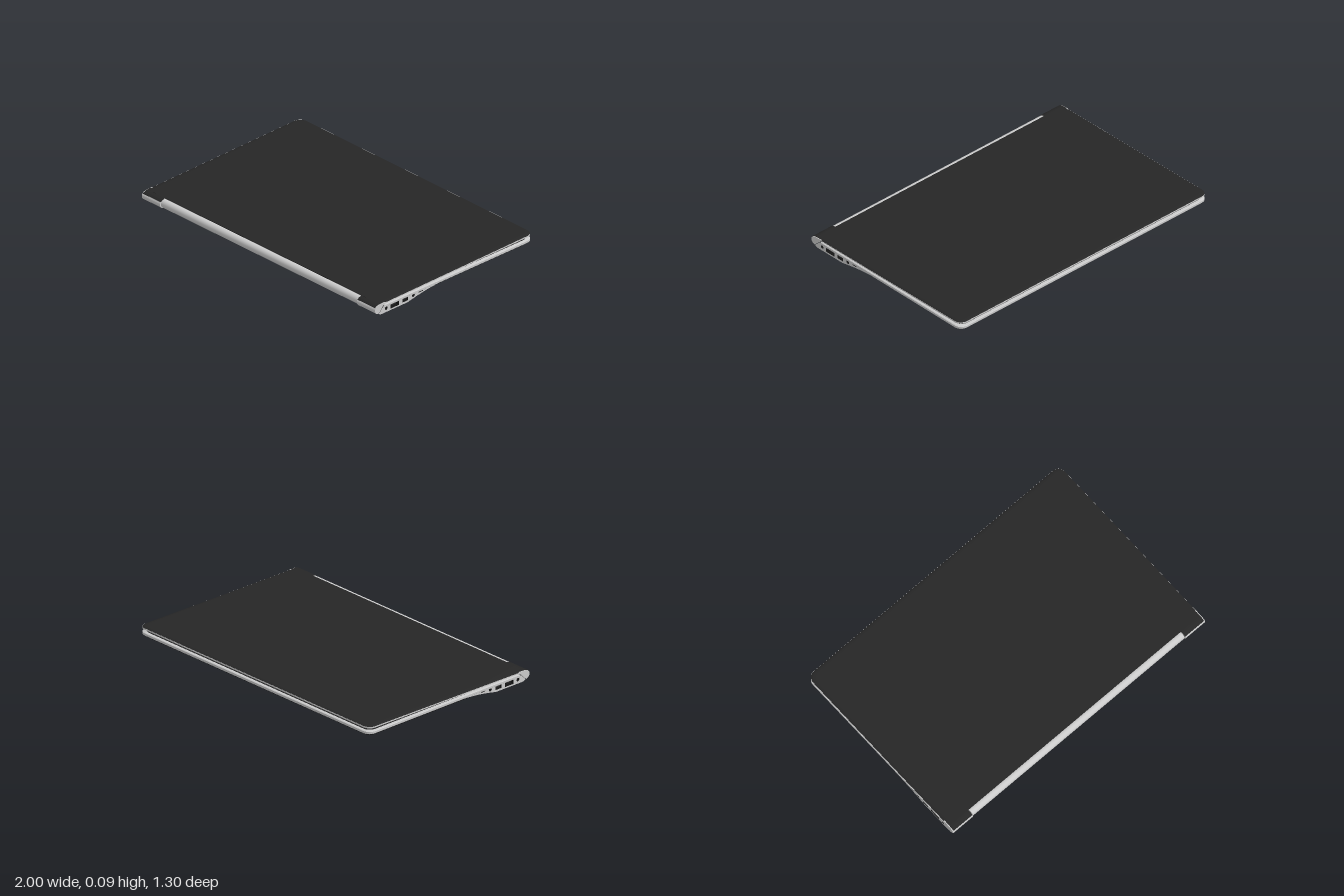
import * as THREE from 'three';
import { toCreasedNormals } from 'three/addons/utils/BufferGeometryUtils.js';

const mat = (color) => new THREE.MeshStandardMaterial({ color });
const grey = mat(0xcccccc), black = mat(0x262626), dark = mat(0x141414);

// Plan outline: square at the hinge edge, rounded at the two far corners
function outline(inset, zFront, r = 0.05) {
  const w = 1 - inset, zb = -0.65 + inset, pts = [[w, zFront]];
  for (const side of [1, -1]) {
    for (let i = 0; i <= 8; i++) {
      const a = (side > 0 ? i : 8 - i) / 8 * Math.PI / 2;
      pts.push([side * (w - r + r * Math.cos(a)), zb + r - r * Math.sin(a)]);
    }
  }
  pts.push([-w, zFront]);
  return pts;
}

// Closed slab lofted through rings [inset, zFront, height as a function of z], bottom to top
function slab(rings, crease = 0.6) {
  const pos = [], idx = [];
  let n = 0;
  for (const [inset, zFront, y] of rings) {
    const o = outline(inset, zFront);
    n = o.length;
    for (const [x, z] of o) pos.push(x, y(z), z);
  }
  for (let k = 0; k < rings.length - 1; k++) {
    for (let i = 0; i < n; i++) {
      const a = k * n + i, b = k * n + (i + 1) % n;
      idx.push(a, b, b + n, a, b + n, a + n);
    }
  }
  const top = (rings.length - 1) * n;
  for (let i = 1; i < n - 1; i++) idx.push(0, i + 1, i, top, top + i, top + i + 1);
  const g = new THREE.BufferGeometry();
  g.setAttribute('position', new THREE.Float32BufferAttribute(pos, 3));
  g.setIndex(idx);
  return toCreasedNormals(g, crease);
}

// Side profile in (z, y), extruded along x between x0 and x1
function acrossX(shape, x0, x1) {
  const g = new THREE.ExtrudeGeometry(shape, { depth: x1 - x0, bevelEnabled: false, curveSegments: 16 });
  g.rotateY(-Math.PI / 2).translate(x1, 0, 0);
  return g;
}

export function createModel() {
  const model = new THREE.Group();
  const add = (name, geometry, material, parent = model) => {
    const m = new THREE.Mesh(geometry, material);
    m.name = name;
    parent.add(m);
    return m;
  };
  const box = (name, size, at, material, parent) =>
    add(name, new THREE.BoxGeometry(...size), material, parent).position.set(...at);
  const flat = (y) => () => y;
  const slope = (y0, y1) => (z) => y0 + (y1 - y0) * (0.6 - z) / 1.25;

  // Base: dark tub with a curved underside, pale rim band and dark deck
  add('baseTub', slab([[0.1, 0.59, flat(0.003)], [0.05, 0.605, flat(0.011)],
    [0.018, 0.605, flat(0.026)], [0.004, 0.59, flat(0.039)]], 0.9), dark);
  add('baseRim', slab([[0.003, 0.585, flat(0.038)], [0, 0.582, flat(0.042)],
    [0, 0.572, flat(0.054)], [0.004, 0.57, flat(0.057)]]), grey);
  add('deck', slab([[0.02, 0.56, flat(0.056)], [0.02, 0.56, flat(0.058)]]), black);

  // Keyboard and touchpad
  const keyboard = new THREE.Group();
  keyboard.name = 'keyboard';
  model.add(keyboard);
  for (let row = 0; row < 5; row++) {
    for (let col = 0; col < 14; col++) {
      box('key', [0.098, 0.004, 0.088], [(col - 6.5) * 0.112, 0.06, 0.43 - row * 0.102], dark, keyboard);
    }
  }
  box('touchpad', [0.6, 0.002, 0.34], [0, 0.0585, -0.33], dark);

  // Port housings on both sides, with cut-out sockets
  const rect = (z0, z1, y0, y1) => {
    const p = new THREE.Path();
    p.moveTo(z0, y0).lineTo(z0, y1).lineTo(z1, y1).lineTo(z1, y0).closePath();
    return p;
  };
  const round = (z, y, r) => new THREE.Path().absarc(z, y, r, 0, Math.PI * 2, true);
  const housing = new THREE.Shape();
  housing.moveTo(0.13, 0.04).lineTo(0.2, 0.034).quadraticCurveTo(0.28, 0.026, 0.38, 0.004)
    .lineTo(0.59, 0.003).quadraticCurveTo(0.612, 0.004, 0.618, 0.014)
    .lineTo(0.58, 0.05).lineTo(0.57, 0.052).lineTo(0.13, 0.052).closePath();
  housing.holes.push(round(0.557, 0.029, 0.011), rect(0.452, 0.522, 0.013, 0.044),
    rect(0.377, 0.423, 0.017, 0.044), round(0.334, 0.033, 0.011), rect(0.256, 0.292, 0.035, 0.043));
  for (const s of [1, -1]) {
    const [x0, x1] = s > 0 ? [0.86, 0.999] : [-0.999, -0.86];
    add('portHousing', acrossX(housing, x0, x1), [grey, dark]);
    // Dark back wall and tongues inside the sockets
    box('socketBack', [0.01, 0.036, 0.32], [s * 0.97, 0.033, 0.42], dark);
    for (const z of [0.487, 0.4]) box('socketTongue', [0.02, 0.006, 0.032], [s * 0.983, 0.03, z], black);
  }

  // Lid: pale frame, dark outer shell with softened edges, dark screen inside
  add('lidFrame', slab([[0.004, 0.607, slope(0.063, 0.076)], [0, 0.607, slope(0.065, 0.078)],
    [0, 0.607, slope(0.07, 0.087)]]), grey);
  add('lidShell', slab([[0, 0.607, slope(0.0695, 0.0865)], [0.004, 0.608, slope(0.072, 0.0895)],
    [0.012, 0.609, slope(0.0743, 0.0922)], [0.026, 0.61, slope(0.0755, 0.0935)]], 0.9), black);
  add('screen', slab([[0.03, 0.55, slope(0.0625, 0.0755)], [0.03, 0.55, slope(0.066, 0.079)]]), dark);

  // Hinge ears: rounded ends of the lid on either side of the barrel
  const ear = new THREE.Shape();
  ear.moveTo(0.565, 0.064).quadraticCurveTo(0.585, 0.06, 0.59, 0.045).lineTo(0.622, 0.014)
    .bezierCurveTo(0.642, 0.017, 0.65, 0.03, 0.65, 0.044)
    .bezierCurveTo(0.65, 0.064, 0.628, 0.073, 0.6, 0.073).lineTo(0.565, 0.073).closePath();
  const skin = new THREE.Shape();
  skin.moveTo(0.58, 0.07).lineTo(0.6, 0.071).bezierCurveTo(0.62, 0.071, 0.636, 0.066, 0.643, 0.057)
    .lineTo(0.646, 0.06).bezierCurveTo(0.639, 0.069, 0.622, 0.0755, 0.6, 0.0755)
    .lineTo(0.58, 0.0755).closePath();
  for (const s of [1, -1]) {
    const span = (a, b) => (s > 0 ? [a, b] : [-b, -a]);
    add('hingeEar', toCreasedNormals(acrossX(ear, ...span(0.845, 1)), 0.6), grey);
    add('hingeEarSkin', toCreasedNormals(acrossX(skin, ...span(0.845, 0.995)), 0.6), black);
  }

  // Hinge barrel
  const barrel = new THREE.CylinderGeometry(0.027, 0.027, 1.68, 32).rotateZ(Math.PI / 2);
  add('hingeBarrel', barrel, grey).position.set(0, 0.045, 0.619);

  // Rubber feet
  for (const z of [0.45, -0.45]) {
    for (const s of [1, -1]) box('foot', [0.24, 0.004, 0.03], [s * 0.66, 0.002, z], dark);
  }
  return model;
}
